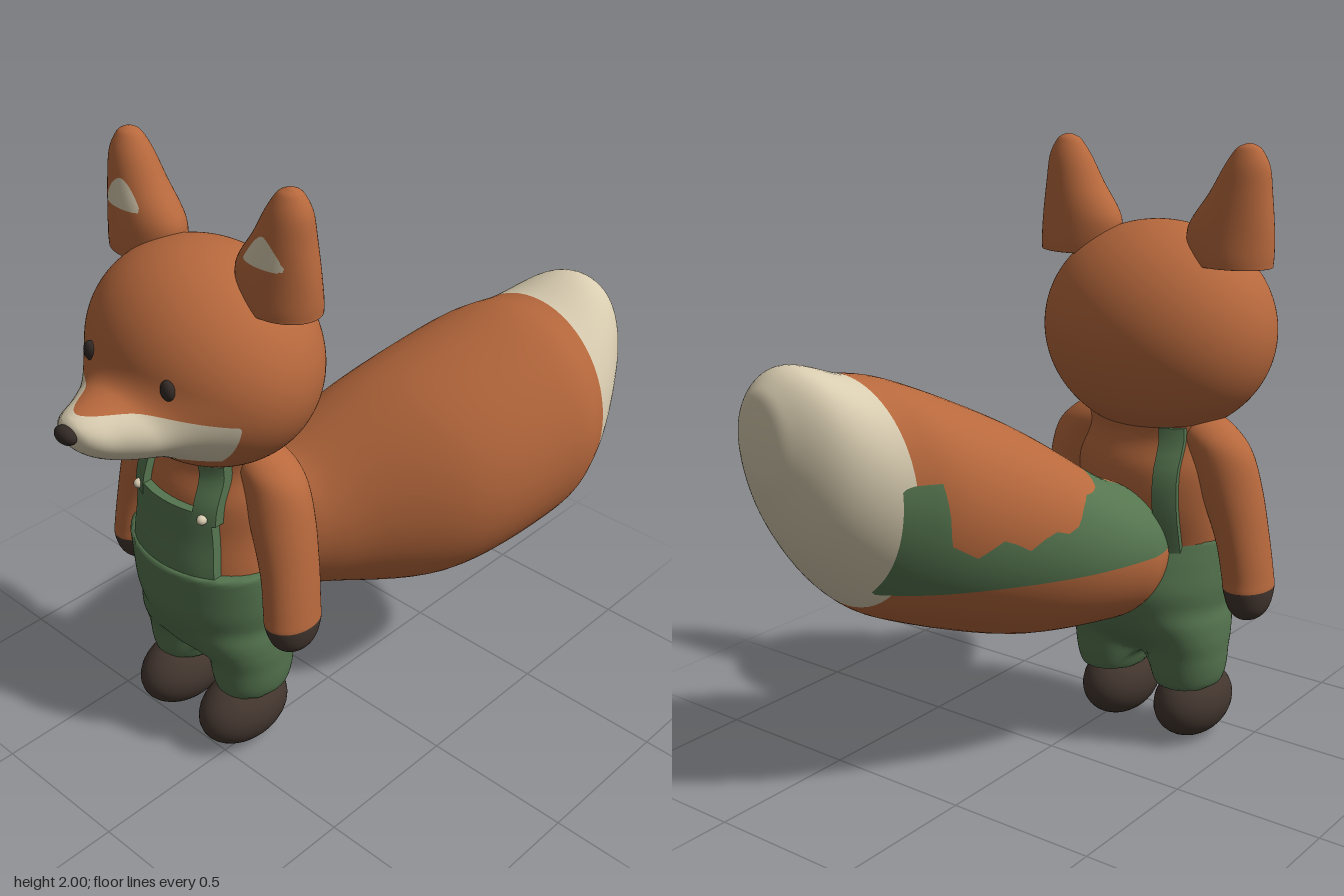
import * as THREE from 'three';
import { mergeVertices } from 'three/addons/utils/BufferGeometryUtils.js';

const CX = -0.17; // middle of the body; the tail swings out to +x
const ORANGE = 0xb8693d, GREEN = 0x55754f, DARK = 0x43362f, CREAM = 0xd8ccb0, BLACK = 0x332a26;

const curve = (keys, rows) => new THREE.CubicInterpolant(keys, rows.flat(), rows[0].length);

// Smooth skin over elliptical rings; rows are [station, centreA, centreB, radiusA, radiusB], stations rising.
function loft(axis, rows, steps = 6, sides = 48) {
  const c = curve(rows.map((_, i) => i), rows), pos = [], index = [];
  const n = (rows.length - 1) * steps;
  for (let i = 0; i <= n; i++) {
    const [s, a, b, ra, rb] = Array.from(c.evaluate(i / steps));
    for (let j = 0; j < sides; j++) {
      const t = (j / sides) * Math.PI * 2;
      const p = a + Math.max(ra, 0) * Math.cos(t), q = b + Math.max(rb, 0) * Math.sin(t);
      if (axis === 'y') pos.push(p, s, q); else pos.push(p, q, s);
      if (i === n) continue;
      const k = i * sides + j, l = i * sides + (j + 1) % sides;
      if (axis === 'y') index.push(k, k + sides, l, l, k + sides, l + sides);
      else index.push(k, l, k + sides, l, l + sides, k + sides);
    }
  }
  const g = new THREE.BufferGeometry();
  g.setAttribute('position', new THREE.Float32BufferAttribute(pos, 3));
  g.setIndex(index);
  g.computeVertexNormals();
  return g;
}

// Inside/outside field of a tube through the same kind of rows (negative inside)
function tubeField(axis, rows) {
  const keys = rows.map(r => r[0]), c = curve(keys, rows), lo = keys[0], hi = keys[keys.length - 1];
  return p => {
    const s = axis === 'y' ? p.y : p.z, q = axis === 'y' ? p.z : p.y;
    const [, a, b, ra, rb] = c.evaluate(THREE.MathUtils.clamp(s, lo, hi));
    return Math.max((Math.hypot((p.x - a) / ra, (q - b) / rb) - 1) * Math.min(ra, rb), lo - s, s - hi);
  };
}

// Rounded union of two fields
function blend(a, b, k) {
  const h = Math.max(k - Math.abs(a - b), 0) / k;
  return Math.min(a, b) - h * h * k / 4;
}

// Shrinks a sphere around centre onto the outermost surface of a field
function wrap(centre, field, w, h) {
  let g = new THREE.SphereGeometry(1, w, h);
  g.deleteAttribute('uv');
  g.deleteAttribute('normal');
  g = mergeVertices(g, 1e-5);
  const P = g.attributes.position, d = new THREE.Vector3(), q = new THREE.Vector3();
  const at = r => field(q.copy(centre).addScaledVector(d, r));
  for (let i = 0; i < P.count; i++) {
    d.fromBufferAttribute(P, i);
    let r = 0.6;
    while (r > 0.02 && at(r) > 0) r -= 0.015;
    let a = r, b = r + 0.015;
    for (let k = 0; k < 12; k++) {
      const m = (a + b) / 2;
      if (at(m) > 0) b = m; else a = m;
    }
    P.setXYZ(i, ...q.copy(centre).addScaledVector(d, a));
  }
  g.computeVertexNormals();
  return g;
}

// Keeps the part of a surface where f(point) > 0, cutting triangles cleanly on the border.
function clip(geometry, f) {
  const g = geometry.index ? geometry.toNonIndexed() : geometry;
  const P = g.attributes.position, N = g.attributes.normal, pos = [], nor = [];
  for (let i = 0; i < P.count; i += 3) {
    const tri = [0, 1, 2].map(k => {
      const p = new THREE.Vector3().fromBufferAttribute(P, i + k);
      return { p, n: new THREE.Vector3().fromBufferAttribute(N, i + k), v: f(p) };
    });
    const poly = [];
    tri.forEach((a, k) => {
      const b = tri[(k + 1) % 3];
      if (a.v > 0) poly.push(a);
      if ((a.v > 0) !== (b.v > 0)) {
        const t = a.v / (a.v - b.v);
        poly.push({ p: a.p.clone().lerp(b.p, t), n: a.n.clone().lerp(b.n, t).normalize() });
      }
    });
    for (let k = 1; k + 1 < poly.length; k++)
      for (const q of [poly[0], poly[k], poly[k + 1]]) { pos.push(...q.p); nor.push(...q.n); }
  }
  const out = new THREE.BufferGeometry();
  out.setAttribute('position', new THREE.Float32BufferAttribute(pos, 3));
  out.setAttribute('normal', new THREE.Float32BufferAttribute(nor, 3));
  return out;
}

const ball = (x, y, z, rx, ry, rz) => new THREE.SphereGeometry(1, 32, 24).scale(rx, ry, rz).translate(x, y, z);

export function createModel() {
  const model = new THREE.Group();
  const add = (name, geometry, color) => {
    const mesh = new THREE.Mesh(geometry, new THREE.MeshStandardMaterial({ color }));
    mesh.name = name;
    model.add(mesh);
  };
  // One surface in two colours, divided where f changes sign
  const addSplit = (name, geometry, color, patchName, patchColor, f) => {
    add(name, clip(geometry, p => -f(p)), color);
    add(patchName, clip(geometry, f), patchColor);
  };

  // Head flowing into the snout, with a pale muzzle
  const snout = tubeField('z', [
    [0.45, CX, 1.33, 0.26, 0.14], [0.6, CX, 1.32, 0.23, 0.13], [0.7, CX, 1.307, 0.178, 0.103],
    [0.78, CX, 1.313, 0.122, 0.086], [0.84, CX, 1.326, 0.085, 0.061], [0.865, CX, 1.335, 0.055, 0.042],
    [0.876, CX, 1.338, 0.025, 0.02]]);
  const head = p => blend(
    (Math.hypot((p.x - CX) / 0.395, (p.y - 1.4) / 0.345, (p.z - 0.355) / 0.322) - 1) * 0.33, snout(p), 0.06);
  addSplit('head', wrap(new THREE.Vector3(CX, 1.36, 0.42), head, 160, 120), ORANGE, 'muzzle', CREAM,
    p => Math.min(p.y - 1.19, p.z - 0.52, 1.388 - 0.42 * (p.x - CX) ** 2 - p.y));
  add('nose', ball(CX, 1.34, 0.88, 0.042, 0.028, 0.025), BLACK);

  // Torso
  const torso = [
    [0.6, CX, 0.37, 0.25, 0.17], [0.72, CX, 0.365, 0.265, 0.185], [0.85, CX, 0.342, 0.265, 0.19],
    [0.97, CX, 0.335, 0.265, 0.182], [1.08, CX, 0.335, 0.235, 0.15], [1.2, CX, 0.34, 0.24, 0.18]];
  add('torso', loft('y', torso), ORANGE);

  // Flat cloth bent around the front (side 1) or back (side -1) of the torso
  const torsoAt = curve(torso.map(r => r[0]), torso);
  const cloth = (name, x, y0, y1, w0, w1, depth, side) => {
    const g = new THREE.BoxGeometry(1, y1 - y0, depth, 12, 10, 1).translate(0, (y0 + y1) / 2, 0);
    const p = g.attributes.position;
    for (let i = 0; i < p.count; i++) {
      const y = p.getY(i), [, , cz, rx, rz] = torsoAt.evaluate(y);
      const px = x + p.getX(i) * THREE.MathUtils.lerp(w0, w1, (y - y0) / (y1 - y0));
      const bulge = Math.sqrt(Math.max(0, 1 - (px / rx) ** 2));
      p.setXYZ(i, CX + px, y, cz + side * rz * bulge + p.getZ(i));
    }
    g.computeVertexNormals();
    add(name, g, GREEN);
  };
  cloth('bib', 0, 0.7, 0.957, 0.38, 0.335, 0.06, 1);
  cloth('backStrap', -0.148, 0.7, 1.115, 0.07, 0.07, 0.03, -1);

  // Trousers: hips and two legs in one soft piece
  const hips = tubeField('y', [
    [0.3, CX, 0.35, 0.05, 0.06], [0.38, CX, 0.35, 0.19, 0.165], [0.45, CX, 0.345, 0.252, 0.205],
    [0.55, CX, 0.352, 0.278, 0.232], [0.65, CX, 0.37, 0.284, 0.22], [0.735, CX, 0.39, 0.284, 0.2]]);
  const legs = [-1, 1].map(s => tubeField('y', [
    [0.215, CX + s * 0.15, 0.345, 0.107, 0.127], [0.245, CX + s * 0.15, 0.345, 0.118, 0.136],
    [0.32, CX + s * 0.148, 0.343, 0.13, 0.146], [0.45, CX + s * 0.14, 0.345, 0.13, 0.165],
    [0.52, CX + s * 0.12, 0.35, 0.09, 0.12]]));
  add('trousers', wrap(new THREE.Vector3(CX, 0.45, 0.355),
    p => blend(hips(p), Math.min(legs[0](p), legs[1](p)), 0.06), 120, 100), GREEN);

  for (const [side, s] of [['right', -1], ['left', 1]]) {
    const at = d => CX + s * d;

    // Ear with a pale inner patch
    addSplit(side + 'Ear', loft('y', [
      [1.628, at(0.29), 0.31, 0, 0], [1.63, at(0.288), 0.31, 0.115, 0.088], [1.645, at(0.284), 0.31, 0.135, 0.102],
      [1.74, at(0.277), 0.312, 0.142, 0.095], [1.85, at(0.307), 0.314, 0.1, 0.078],
      [1.93, at(0.325), 0.314, 0.072, 0.06], [1.98, at(0.33), 0.313, 0.042, 0.036],
      [1.995, at(0.332), 0.312, 0.019, 0.017], [2.0, at(0.332), 0.312, 0, 0]]), ORANGE,
    side + 'InnerEar', CREAM, p => Math.min(p.y - 1.78, p.z - 0.315,
      0.09 * (1 - Math.abs((p.x - at(0.295)) / 0.083) ** 1.6 - (p.y - 1.78) / 0.09)));

    add(side + 'Eye', ball(at(0.168), 1.45, 0.644, 0.025, 0.032, 0.018), BLACK);

    // Arm ending in a dark paw
    addSplit(side + 'Arm', loft('y', [
      [0.475, at(0.36), 0.36, 0, 0], [0.485, at(0.36), 0.36, 0.037, 0.045], [0.52, at(0.362), 0.36, 0.063, 0.08],
      [0.58, at(0.36), 0.36, 0.077, 0.1], [0.63, at(0.355), 0.358, 0.079, 0.1], [0.75, at(0.338), 0.347, 0.083, 0.1],
      [0.9, at(0.3), 0.335, 0.1, 0.102], [1.03, at(0.255), 0.325, 0.112, 0.095], [1.1, at(0.21), 0.325, 0.1, 0.085],
      [1.15, at(0.17), 0.33, 0.06, 0.05], [1.165, at(0.15), 0.33, 0, 0]]), ORANGE,
    side + 'Paw', DARK, p => 0.59 - p.y);

    // Front strap with its button, and the foot
    cloth(side + 'FrontStrap', s * 0.148, 0.92, 1.115, 0.07, 0.07, 0.065, 1);
    add(side + 'Button', ball(at(0.145), 0.94, 0.525, 0.016, 0.016, 0.018), CREAM);
    add(side + 'Foot', ball(at(0.147), 0.122, 0.388, 0.117, 0.122, 0.172), DARK);
  }

  // Bushy tail with a pale tip and a jagged cloth-coloured streak on its right side
  const tail = loft('z', [
    [-0.905, 0.37, 1.21, 0, 0], [-0.9, 0.368, 1.21, 0.05, 0.075], [-0.88, 0.36, 1.2, 0.11, 0.16],
    [-0.8, 0.328, 1.13, 0.208, 0.285], [-0.65, 0.297, 1.01, 0.304, 0.36], [-0.5, 0.24, 0.945, 0.36, 0.385],
    [-0.2, 0.105, 0.815, 0.365, 0.355], [0.05, -0.065, 0.717, 0.265, 0.258], [0.15, -0.12, 0.7, 0.215, 0.222],
    [0.3, -0.17, 0.68, 0.12, 0.14]], 8, 64);
  const streak = p => {
    const tooth = Math.abs(((p.z + 2) * 7) % 1 - 0.5) * 0.1;
    const top = p.z < -0.57 ? 1.08 : 0.84 + tooth + 0.14 * THREE.MathUtils.smoothstep(p.z, -0.3, 0);
    return Math.min(-0.55 * p.z - 0.1 - p.x, p.y - 0.72, top - p.y, p.z + 0.68);
  };
  const fur = clip(tail, p => -streak(p));
  add('tailStreak', clip(tail, streak), GREEN);
  addSplit('tail', fur, ORANGE, 'tailTip', CREAM, p => -0.645 - p.z);

  return model;
}
